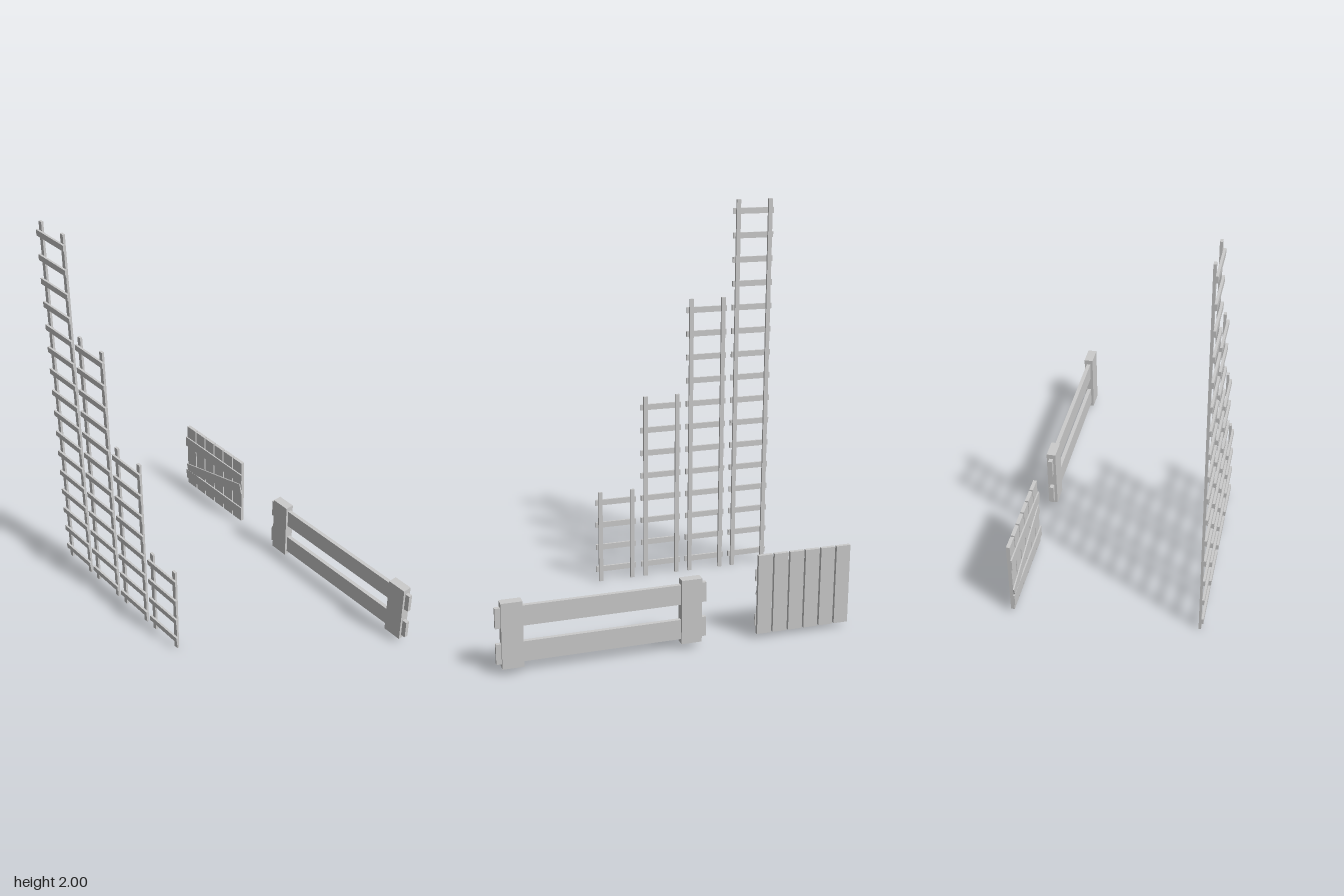
import * as THREE from 'three';

const material = new THREE.MeshStandardMaterial({ color: 0xcccccc, flatShading: true });

// Box given by its [min, max] range along each axis
function board(name, [x0, x1], [y0, y1], [z0, z1]) {
  const mesh = new THREE.Mesh(new THREE.BoxGeometry(x1 - x0, y1 - y0, z1 - z0), material);
  mesh.name = name;
  mesh.position.set((x0 + x1) / 2, (y0 + y1) / 2, (z0 + z1) / 2);
  return mesh;
}

function group(name, ...parts) {
  const g = new THREE.Group();
  g.name = name;
  if (parts.length) g.add(...parts);
  return g;
}

// Ladder: two rails with rungs nailed across the outer side
function ladder(height, z) {
  const g = group('ladder');
  for (const s of [-1, 1]) {
    const c = z + s * 0.0875;
    g.add(board('rail', [-0.456, -0.444], [0, height], [c - 0.011, c + 0.011]));
  }
  const count = Math.round(height / 0.125);
  for (let i = 0; i < count; i++) {
    const y = 0.065 + i * 0.125;
    g.add(board('rung', [-0.467, -0.456], [y - 0.015, y + 0.015], [z - 0.11, z + 0.11]));
  }
  return g;
}

// Fence: two posts with two rails running through them
function fence() {
  const g = group('fence');
  for (const z of [-0.1, 0.75]) g.add(board('fencePost', [0.417, 0.463], [0.032, 0.352], [z, z + 0.1]));
  for (const y of [0.053, 0.228]) g.add(board('fenceRail', [0.43, 0.45], [y, y + 0.098], [-0.125, 0.875]));
  return g;
}

// Gate: upright planks held by two battens and a diagonal brace
function gate() {
  const g = group('gate');
  for (let i = 0; i < 6; i++) {
    const z = -0.862 + i * 0.0808;
    g.add(board('gatePlank', [0.434, 0.452], [0.023, 0.425], [z, z + 0.072]));
  }
  for (const y of [0.06, 0.29]) g.add(board('gateBatten', [0.427, 0.434], [y, y + 0.06], [-0.87, -0.38]));
  const brace = board('gateBrace', [0.428, 0.434], [0.16, 0.22], [-0.868, -0.382]);
  brace.rotation.x = -0.25;
  g.add(brace);
  return g;
}

export function createModel() {
  const model = group('woodenStructures', fence(), gate());
  // Four ladders of rising height
  for (let i = 0; i < 4; i++) model.add(ladder(0.5 * (i + 1), 0.055 - i * 0.25));
  return model;
}
